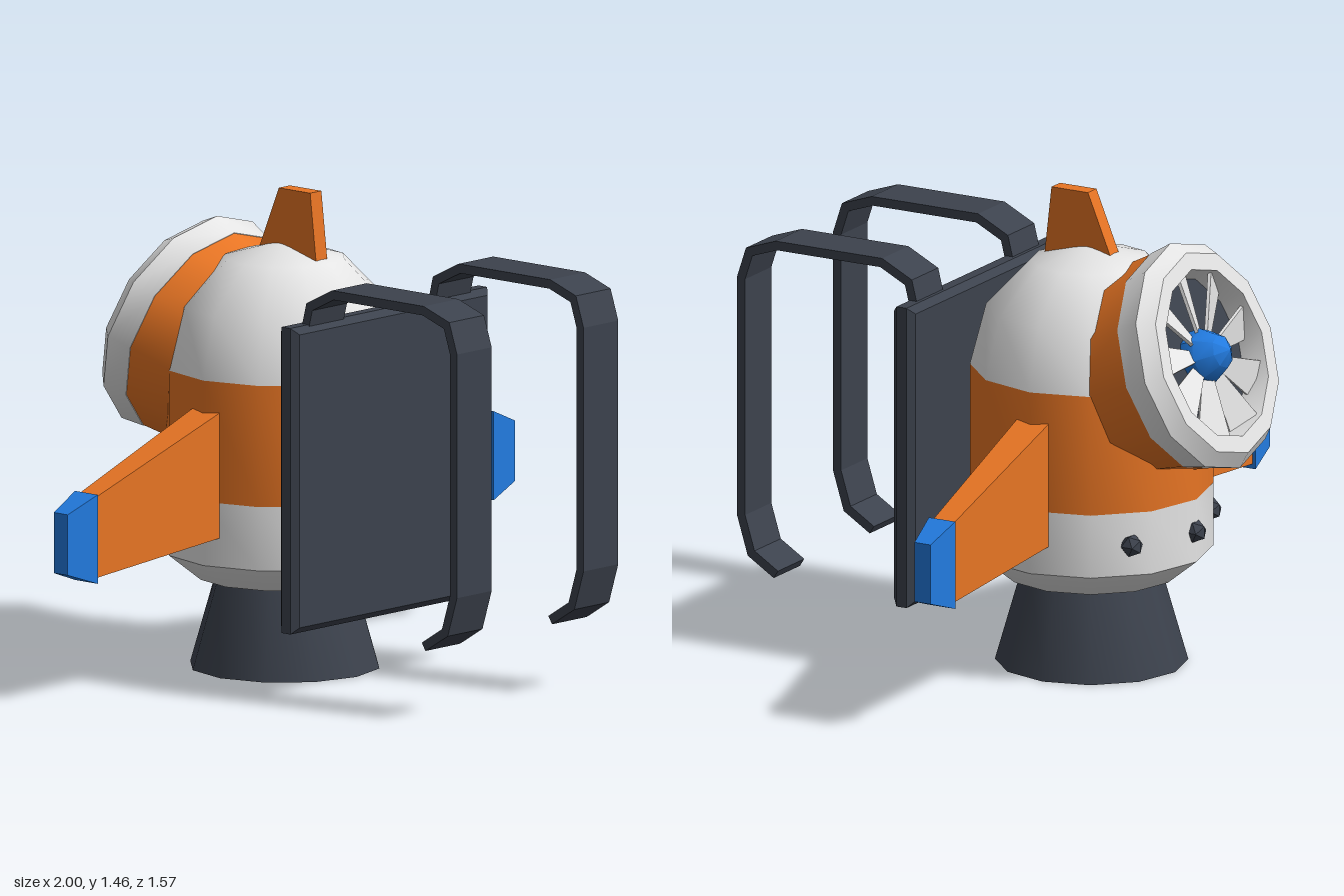
import * as THREE from 'three';
import { toCreasedNormals } from 'three/addons/utils/BufferGeometryUtils.js';

const paint = (name, hex) => {
  const m = new THREE.MeshStandardMaterial({ color: hex });
  m.name = name;
  return m;
};

export function createModel() {
  const orange = paint('orange', 0xe87524);
  const white = paint('white', 0xe4e4e4);
  const dark = paint('charcoal', 0x3c424d);
  const blue = paint('blue', 0x227be0);

  const model = new THREE.Group();
  model.name = 'jetpack';
  const AXIS_Z = -0.235;

  const add = (parent, name, geometry, material, x = 0, y = 0, z = 0) => {
    const mesh = new THREE.Mesh(geometry, material);
    mesh.name = name;
    mesh.position.set(x, y, z);
    parent.add(mesh);
    return mesh;
  };
  // Revolved profile of [radius, height] pairs, smooth around and sharp at edges
  const lathe = (profile, sides = 12) =>
    toCreasedNormals(new THREE.LatheGeometry(profile.map(([r, y]) => new THREE.Vector2(r, y)), sides), 0.7);
  // Flat outline of [z, y] pairs given a width along x, centred on x = 0
  const slab = (outline, width) => {
    const shape = new THREE.Shape(outline.map(([z, y]) => new THREE.Vector2(z, y)));
    const g = new THREE.ExtrudeGeometry(shape, { depth: width, bevelEnabled: false });
    return g.translate(0, 0, -width / 2).rotateY(-Math.PI / 2);
  };
  // Box running along x between two end sections [x, yLow, yHigh, half depth]
  const taperedBox = (inner, outer) => {
    const g = new THREE.BoxGeometry(1, 1, 1);
    const p = g.attributes.position;
    for (let i = 0; i < p.count; i++) {
      const [x, low, high, half] = p.getX(i) < 0 ? inner : outer;
      p.setXYZ(i, x, p.getY(i) < 0 ? low : high, Math.sign(p.getZ(i)) * half);
    }
    g.computeVertexNormals();
    return g;
  };

  // Body: base, middle band and dome
  const body = new THREE.Group();
  body.name = 'body';
  body.position.z = AXIS_Z;
  model.add(body);
  add(body, 'bodyBase', lathe([[0, 0.275], [0.265, 0.275], [0.365, 0.355], [0.365, 0.55]]), white);
  add(body, 'bodyBand', lathe([[0.365, 0.55], [0.365, 0.92]]), orange);
  const dome = [0, 1, 2, 3].map((i) => {
    const a = (i * Math.PI) / 6;
    return [i === 3 ? 0 : 0.365 * Math.cos(a), 0.92 + 0.378 * Math.sin(a)];
  });
  add(body, 'dome', lathe(dome), white);

  // Hollow exhaust nozzle with a glowing plate inside
  add(body, 'nozzle', lathe([[0.235, 0.1], [0.255, 0], [0.29, 0], [0.21, 0.28]]), dark);
  add(body, 'nozzlePlate', lathe([[0, 0.1], [0.235, 0.1]]), orange);

  // Bolts around the rear of the base
  for (const degrees of [-40, 0, 40]) {
    const a = THREE.MathUtils.degToRad(degrees);
    add(body, 'bolt', new THREE.IcosahedronGeometry(0.036, 0), dark,
      0.362 * Math.sin(a), 0.45, -0.362 * Math.cos(a));
  }

  // Top fin
  add(model, 'topFin', slab([[-0.08, 1.2], [-0.11, 1.46], [-0.237, 1.46], [-0.345, 1.2]], 0.05), orange);

  // Wings with painted tips
  for (const side of [0, 1]) {
    const wing = new THREE.Group();
    wing.name = side ? 'rightWing' : 'leftWing';
    wing.position.z = AXIS_Z - 0.002;
    wing.rotation.y = side * Math.PI;
    add(wing, 'wingPanel', taperedBox([0.32, 0.446, 0.836, 0.056], [0.89, 0.395, 0.64, 0.036]), orange);
    add(wing, 'wingTip', taperedBox([0.885, 0.38, 0.652, 0.046], [1, 0.42, 0.605, 0.028]), blue);
    model.add(wing);
  }

  // Back plate with chamfered edges
  const plate = new THREE.Shape();
  plate.moveTo(-0.42, 0.23).lineTo(0.42, 0.23).lineTo(0.42, 1.125).lineTo(-0.42, 1.125).closePath();
  add(model, 'backPlate', new THREE.ExtrudeGeometry(plate, {
    depth: 0.035, bevelEnabled: true, bevelSize: 0.02, bevelThickness: 0.02, bevelSegments: 1,
  }), dark, 0, 0, 0.15);

  // Shoulder straps: a centre line thickened to both sides
  const line = [[0.165, 1.1], [0.19, 1.2], [0.285, 1.248], [0.65, 1.248], [0.745, 1.215],
    [0.773, 1.13], [0.773, 0.39], [0.738, 0.276], [0.652, 0.222]];
  const offset = (d) => line.map(([z, y], i) => {
    const at = (k) => new THREE.Vector2(...line[THREE.MathUtils.clamp(k, 0, line.length - 1)]);
    const before = at(i).sub(at(i - 1)).normalize();
    const after = at(i + 1).sub(at(i)).normalize();
    const dir = before.clone().add(after).normalize();
    const cos = Math.max(dir.dot(before), dir.dot(after));
    return [z - (dir.y * d) / cos, y + (dir.x * d) / cos];
  });
  const strap = slab([...offset(0.014), ...offset(-0.014).reverse()], 0.155);
  add(model, 'leftStrap', strap, dark, 0.283);
  add(model, 'rightStrap', strap, dark, -0.283);

  // Rear fan, its axis tilted up by 20 degrees
  const fan = new THREE.Group();
  fan.name = 'fan';
  fan.position.set(0, 0.975, -0.555);
  fan.rotation.x = THREE.MathUtils.degToRad(-70);
  model.add(fan);
  add(fan, 'fanShroud', lathe([[0.303, -0.25], [0.336, 0]]), orange);
  add(fan, 'fanRing', lathe([[0.3, 0], [0.338, 0], [0.354, 0.08], [0.315, 0.125], [0.262, 0.125], [0.25, 0.04]]), white);
  add(fan, 'fanBacking', lathe([[0.27, 0.045], [0, 0.045]]), dark);
  add(fan, 'fanHub', lathe([[0.08, 0.04], [0.084, 0.09], [0.052, 0.145], [0, 0.175]], 8), blue);

  // Pitched blades that widen outwards
  const blade = new THREE.BoxGeometry(1, 0.01, 0.2).translate(0, 0, 0.155);
  const bp = blade.attributes.position;
  for (let i = 0; i < bp.count; i++) bp.setX(i, bp.getX(i) * (bp.getZ(i) > 0.1 ? 0.115 : 0.035));
  blade.computeVertexNormals();
  blade.rotateZ(0.4);
  const BLADES = 9;
  for (let i = 0; i < BLADES; i++) {
    add(fan, 'fanBlade', blade, white, 0, 0.08, 0).rotation.y = (i * 2 * Math.PI) / BLADES;
  }

  return model;
}
